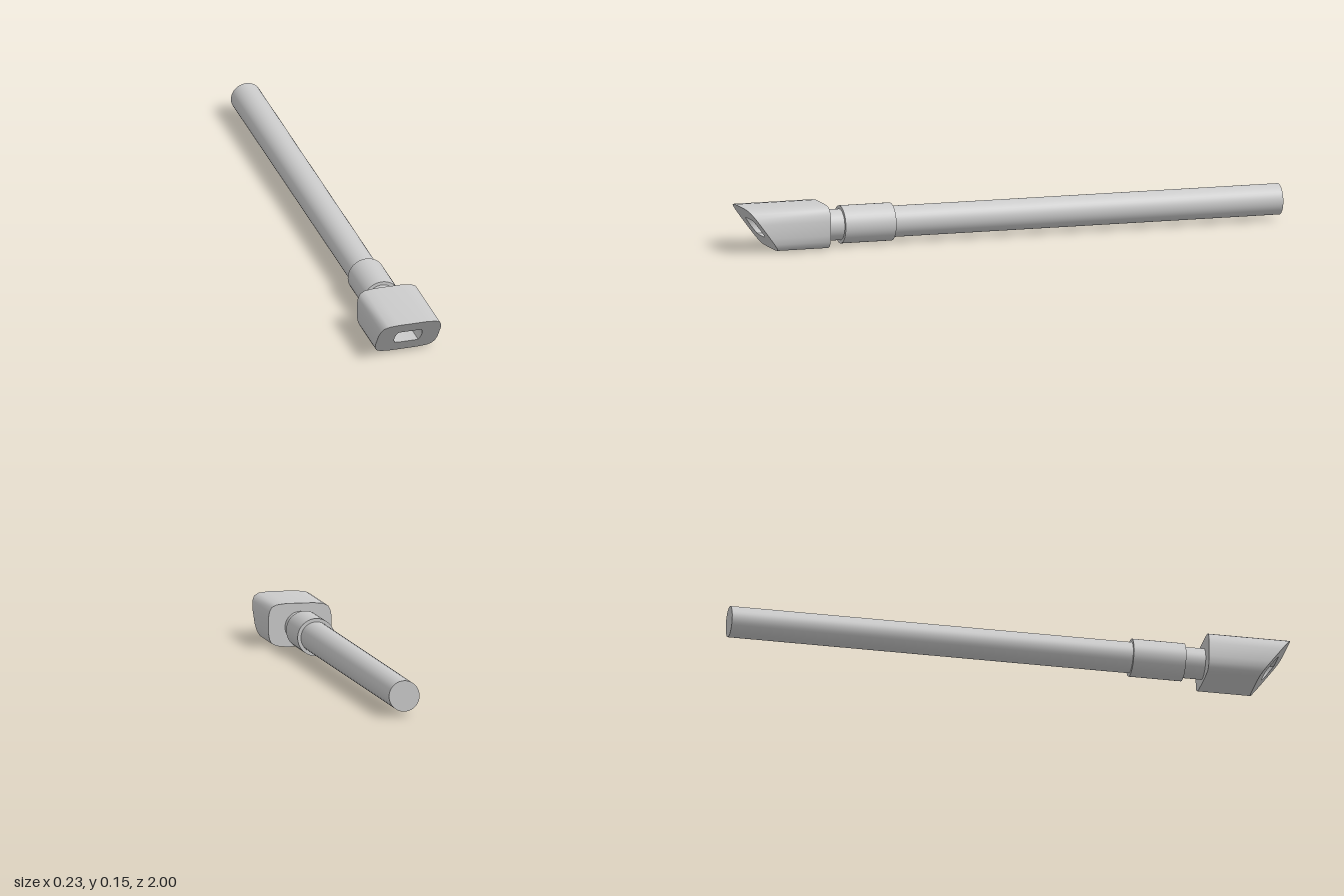
import * as THREE from 'three';
import { toCreasedNormals } from 'three/addons/utils/BufferGeometryUtils.js';

const material = new THREE.MeshStandardMaterial({ color: 0xcccccc });
const HEAD_Y = 0.077;
const BACK_Z = 0.7;

// Slanted front of the head: the top reaches further forward than the bottom.
const slant = (y) => 0.885 + 0.115 * (y / 0.154);

// Mirrors one quarter outline into a full counter-clockwise ring.
function ring(quarter) {
  const flipped = [...quarter].reverse();
  return [
    ...quarter,
    ...flipped.map(([x, y]) => [-x, y]),
    ...quarter.map(([x, y]) => [-x, -y]),
    ...flipped.map(([x, y]) => [x, -y]),
  ].map(([x, y]) => [x, y + HEAD_Y]);
}

// Skins a series of rings; the first and last may be single repeated points.
function loft(rings) {
  const positions = [];
  const n = rings[0].length;
  for (let r = 0; r < rings.length - 1; r++) {
    for (let i = 0; i < n; i++) {
      const j = (i + 1) % n;
      const a = rings[r][i], b = rings[r][j], c = rings[r + 1][j], d = rings[r + 1][i];
      if (r > 0) positions.push(...a, ...b, ...d);
      if (r < rings.length - 2) positions.push(...b, ...c, ...d);
      if (r === 0) continue;
    }
  }
  const geometry = new THREE.BufferGeometry();
  geometry.setAttribute('position', new THREE.Float32BufferAttribute(positions, 3));
  return toCreasedNormals(geometry, 0.7);
}

// Soft rectangular head with a slanted front and a recessed slot.
function createHead() {
  const outer = ring([[0.114, 0.025], [0.11, 0.048], [0.102, 0.064], [0.085, 0.073], [0.05, 0.077]]);
  const slot = ring([[0.05, 0.004], [0.0485, 0.013], [0.046, 0.022], [0.043, 0.029], [0.03, 0.031]]);
  const depth = 0.12;
  const at = (points, z) => points.map(([x, y]) => [x, y, z(y)]);
  const centre = outer.map(() => [0, HEAD_Y]);
  return loft([
    at(centre, () => BACK_Z),
    at(outer, () => BACK_Z),
    at(outer, slant),
    at(slot, slant),
    at(slot, (y) => slant(y) - depth),
    at(centre, (y) => slant(y) - depth),
  ]);
}

// Round bar lying along z.
function bar(radius, z0, z1) {
  const geometry = new THREE.CylinderGeometry(radius, radius, z1 - z0, 40);
  geometry.rotateX(Math.PI / 2);
  geometry.translate(-0.001, 0.07, (z0 + z1) / 2);
  return geometry;
}

export function createModel() {
  const model = new THREE.Group();
  const add = (name, geometry) => {
    const mesh = new THREE.Mesh(geometry, material);
    mesh.name = name;
    model.add(mesh);
  };
  add('shaft', bar(0.055, -1, BACK_Z));
  add('collar', bar(0.067, 0.44, 0.628));
  add('head', createHead());
  return model;
}
